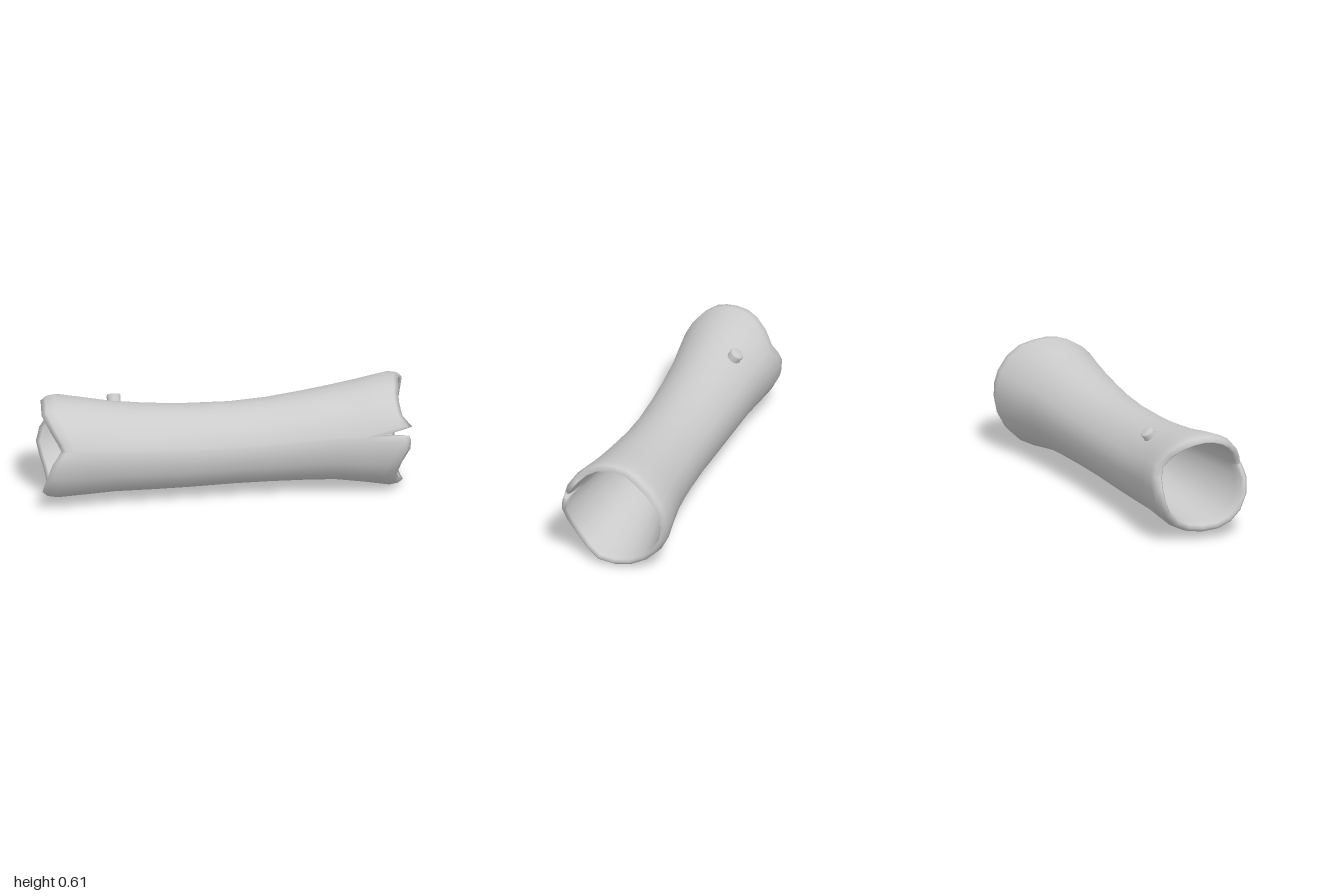
import * as THREE from 'three';

// Along the log: x, outer radius, outer centre height, inner radius, inner centre height
const profile = [
  [-1.0, 0.283, 0.32, 0.238, 0.32],
  [-0.9, 0.281, 0.32, 0.23, 0.32],
  [-0.75, 0.264, 0.309, 0.218, 0.32],
  [-0.6, 0.246, 0.298, 0.205, 0.318],
  [-0.4, 0.235, 0.285, 0.185, 0.315],
  [-0.2, 0.228, 0.279, 0.172, 0.315],
  [0.05, 0.223, 0.28, 0.167, 0.316],
  [0.25, 0.229, 0.287, 0.175, 0.318],
  [0.45, 0.243, 0.299, 0.192, 0.32],
  [0.6, 0.257, 0.308, 0.21, 0.32],
  [0.75, 0.28, 0.31, 0.235, 0.315],
  [0.9, 0.308, 0.313, 0.262, 0.313],
  [1.0, 0.31, 0.312, 0.266, 0.312],
];

// Around the log: angle from front towards top (degrees), broken edge x at left end and at right end
const edges = [
  [0, 0.985, -0.96], [10, 0.99, -0.93], [15.5, 0.98, -0.915], [17, 0.855, -0.91],
  [25, 0.998, -0.925], [38, 0.95, -0.955], [52, 0.94, -0.98], [66, 0.94, -1.0],
  [78, 0.95, -0.995], [90, 0.955, -0.99], [104, 0.965, -0.985], [118, 0.99, -0.965],
  [135, 1.0, -0.93], [153, 1.0, -0.9], [166, 0.995, -0.93], [180, 0.985, -0.965],
  [198, 0.975, -0.985], [216, 0.965, -0.97], [234, 0.955, -0.955], [252, 0.96, -0.95],
  [270, 0.965, -0.96], [288, 0.97, -0.985], [305, 0.94, -1.0], [322, 0.92, -1.0],
  [342, 0.94, -0.985],
];

function sample(x, column) {
  let i = 0;
  while (i < profile.length - 2 && x > profile[i + 1][0]) i++;
  const a = profile[i], b = profile[i + 1];
  const t = THREE.MathUtils.clamp((x - a[0]) / (b[0] - a[0]), 0, 1);
  return THREE.MathUtils.lerp(a[column], b[column], t);
}

// Closed wall section at one angle: outer skin, right rim, inner skin, left rim
function wallSection(angle, rightX, leftX) {
  const points = [];
  const add = (x, column, inset = 0) => {
    const r = sample(x, column) - inset;
    points.push(x, sample(x, column + 1) + r * Math.sin(angle), r * Math.cos(angle));
  };
  const stations = profile.map((p) => p[0]).filter((x) => Math.abs(x) < 0.76);
  add(leftX + 0.025, 1, 0.01);
  add(leftX + 0.075, 1);
  stations.forEach((x) => add(x, 1));
  add(rightX - 0.075, 1);
  add(rightX - 0.025, 1, 0.01);
  add(rightX, 1, 0.032);
  add(rightX - 0.02, 3, -0.003);
  add(rightX - 0.08, 3);
  stations.reverse().forEach((x) => add(x, 3));
  add(leftX + 0.08, 3);
  add(leftX + 0.02, 3, -0.003);
  add(leftX, 1, 0.032);
  return points;
}

function hollowLogGeometry() {
  const sections = edges.map(([deg, right, left]) =>
    wallSection(THREE.MathUtils.degToRad(deg), right, left));
  const n = sections.length, m = sections[0].length / 3;
  const index = [];
  for (let i = 0; i < n; i++) {
    for (let j = 0; j < m; j++) {
      const i2 = (i + 1) % n, j2 = (j + 1) % m;
      const a = i * m + j, b = i * m + j2, c = i2 * m + j2, d = i2 * m + j;
      index.push(a, b, c, a, c, d);
    }
  }
  const geometry = new THREE.BufferGeometry();
  geometry.setAttribute('position', new THREE.Float32BufferAttribute(sections.flat(), 3));
  geometry.setIndex(index);
  geometry.computeVertexNormals();
  return geometry;
}

export function createModel() {
  const group = new THREE.Group();
  group.name = 'hollowLog';
  const material = new THREE.MeshStandardMaterial({ color: 0xcccccc });

  // Hollow trunk with broken ends
  const trunk = new THREE.Mesh(hollowLogGeometry(), material);
  trunk.name = 'trunk';
  group.add(trunk);

  // Short branch stub on the upper back
  const stubProfile = [[0.042, 0], [0.036, 0.045], [0.04, 0.062], [0.034, 0.072], [0, 0.074]]
    .map(([r, y]) => new THREE.Vector2(r, y));
  const stub = new THREE.Mesh(new THREE.LatheGeometry(stubProfile, 10), material);
  stub.name = 'branchStub';
  const outward = new THREE.Vector3(0, 0.85, -0.53).normalize();
  stub.quaternion.setFromUnitVectors(new THREE.Vector3(0, 1, 0), outward);
  stub.position.set(-0.575, 0.297, 0).addScaledVector(outward, 0.21);
  group.add(stub);

  return group;
}
